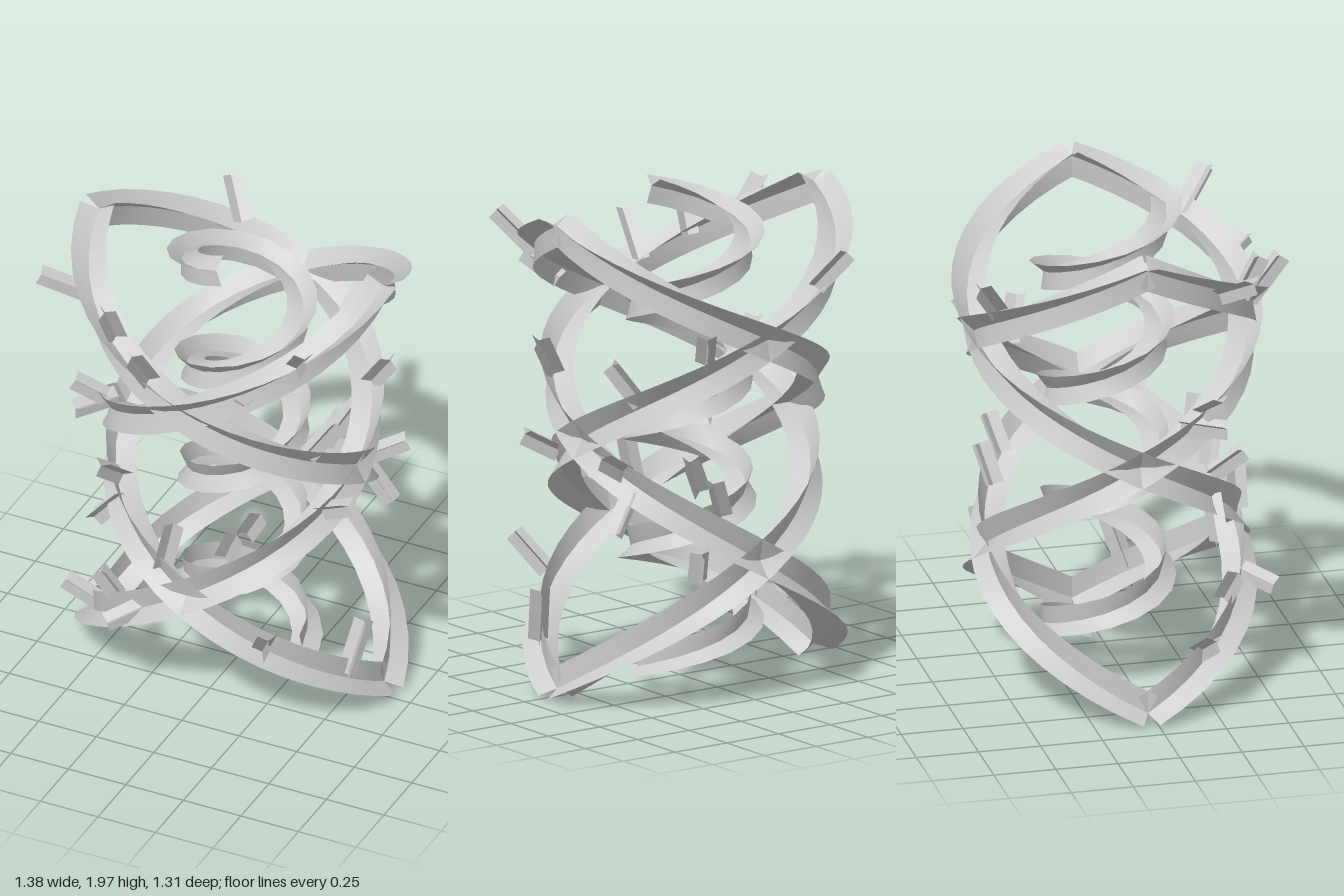
import * as THREE from 'three';

const material = new THREE.MeshStandardMaterial({ color: 0xcccccc, side: THREE.DoubleSide });
const V = (x, y, z) => new THREE.Vector3(x, y, z);
const strandZ = -0.035;

// Sweeps a three-finned star section along points.
// refs: direction the gap faces at zero twist; twist(t): rotation of the gap towards up.
function sweepFins(name, points, refs, twist, radius) {
  const n = points.length;
  const positions = [], indices = [];
  for (const offset of [Math.PI / 3, -Math.PI / 3, Math.PI]) {
    const base = positions.length / 3;
    for (let i = 0; i < n; i++) {
      const tangent = points[Math.min(i + 1, n - 1)].clone().sub(points[Math.max(i - 1, 0)]).normalize();
      const out = refs[i].clone().addScaledVector(tangent, -refs[i].dot(tangent)).normalize();
      const up = tangent.clone().cross(out);
      if (up.y < 0) up.negate();
      const angle = twist(i / (n - 1)) + offset;
      const tip = points[i].clone()
        .addScaledVector(out, Math.cos(angle) * radius)
        .addScaledVector(up, Math.sin(angle) * radius);
      positions.push(...points[i].toArray(), ...tip.toArray());
      if (i < n - 1) {
        const a = base + i * 2;
        indices.push(a, a + 1, a + 3, a, a + 3, a + 2);
      }
    }
  }
  const geometry = new THREE.BufferGeometry();
  geometry.setAttribute('position', new THREE.Float32BufferAttribute(positions, 3));
  geometry.setIndex(indices);
  geometry.computeVertexNormals();
  const mesh = new THREE.Mesh(geometry, material);
  mesh.name = name;
  return mesh;
}

// Helix whose radius and height follow [radius, height] pairs.
// The first and last pair lie beyond the ends and only set the slope there.
function helix(name, profile, start, sweep, centreZ, segments, finRadius) {
  const curve = new THREE.SplineCurve(profile.map(([r, y]) => new THREE.Vector2(r, y)));
  const spans = profile.length - 1;
  const points = [], refs = [];
  for (let i = 0; i <= segments; i++) {
    const t = i / segments, a = start + sweep * t;
    const p = curve.getPoint((1 + t * (spans - 2)) / spans);
    const radial = V(Math.cos(a), 0, Math.sin(a));
    refs.push(radial);
    points.push(V(radial.x * p.x, p.y, radial.z * p.x + centreZ));
  }
  return sweepFins(name, points, refs, (t) => (0.5 - t) * Math.PI / 3, finRadius);
}

// Straight thorn from root to tip
function thorn(root, tip) {
  const up = V(0, 1, 0);
  return sweepFins('thorn', [V(...root), V(...tip)], [up, up], () => 0, 0.045);
}

// Thorns that occur once
const singleThorns = [
  [[-0.50, 1.75, 0.28], [-0.67, 1.85, 0.38]],
  [[-0.33, 1.66, 0.40], [-0.345, 1.83, 0.48]],
  [[-0.25, 1.66, -0.55], [-0.34, 1.80, -0.64]],
  [[-0.15, 1.57, 0.48], [-0.165, 1.75, 0.61]],
  [[0.43, 1.72, 0.36], [0.53, 1.87, 0.49]],
  [[0.25, 1.56, 0.46], [0.32, 1.65, 0.60]],
  [[0.24, 1.40, -0.50], [0.28, 1.52, -0.57]],
  [[-0.46, 1.24, 0.22], [-0.57, 1.32, 0.28]],
  [[-0.45, 1.20, 0.14], [-0.56, 1.20, 0.30]],
  [[-0.36, 0.94, 0.28], [-0.40, 1.04, 0.40]],
  [[-0.11, 0.68, 0.45], [-0.06, 0.90, 0.45]],
  [[-0.36, 0.85, 0.28], [-0.49, 0.70, 0.28]],
  [[0.43, 0.87, -0.28], [0.53, 0.72, -0.30]],
  [[-0.34, 0.40, 0.34], [-0.41, 0.53, 0.38]],
  [[0.25, 0.52, -0.47], [0.26, 0.64, -0.50]],
  [[-0.20, 0.46, 0.44], [-0.30, 0.42, 0.55]],
  [[0.32, 0.40, 0.44], [0.40, 0.54, 0.55]],
  [[0.56, 0.20, 0.17], [0.60, 0.42, 0.10]],
  [[-0.50, 0.25, 0.20], [-0.63, 0.34, 0.24]],
];

// Thorns mirrored from front to back
const pairedThorns = [
  [[0.42, 1.24, 0.26], [0.53, 1.40, 0.21]],
  [[0.45, 0.95, 0.18], [0.59, 1.03, 0.22]],
  [[0.21, 0.87, 0.35], [0.29, 1.01, 0.39]],
  [[0.14, 0.77, 0.40], [0.21, 0.92, 0.44]],
];

export function createModel() {
  const model = new THREE.Group();
  model.name = 'twistedColumn';

  // Four crossing outer strands, two in each direction
  const outer = [
    [0.82, -0.49], [0.62, 0.06], [0.498, 0.585], [0.5, 1.05], [0.548, 1.485], [0.62, 1.925], [0.72, 2.37],
  ];
  for (const start of [0, Math.PI]) {
    for (const direction of [1, -1]) {
      model.add(helix('outerStrand', outer, start, direction * Math.PI * 2, strandZ, 40, 0.08));
    }
  }

  // Single coil up the middle
  const inner = [
    [0.29, -0.37], [0.25, 0.1], [0.228, 0.57], [0.222, 1.03], [0.23, 1.49], [0.25, 1.95], [0.28, 2.41],
  ];
  model.add(helix('innerCoil', inner, 0, -Math.PI * 7.5, -0.06, 64, 0.07));

  // Small thorns around the outer strands
  const mirrorZ = ([x, y, z]) => [x, y, 2 * strandZ - z];
  for (const [root, tip] of singleThorns) model.add(thorn(root, tip));
  for (const [root, tip] of pairedThorns) {
    model.add(thorn(root, tip), thorn(mirrorZ(root), mirrorZ(tip)));
  }
  return model;
}
